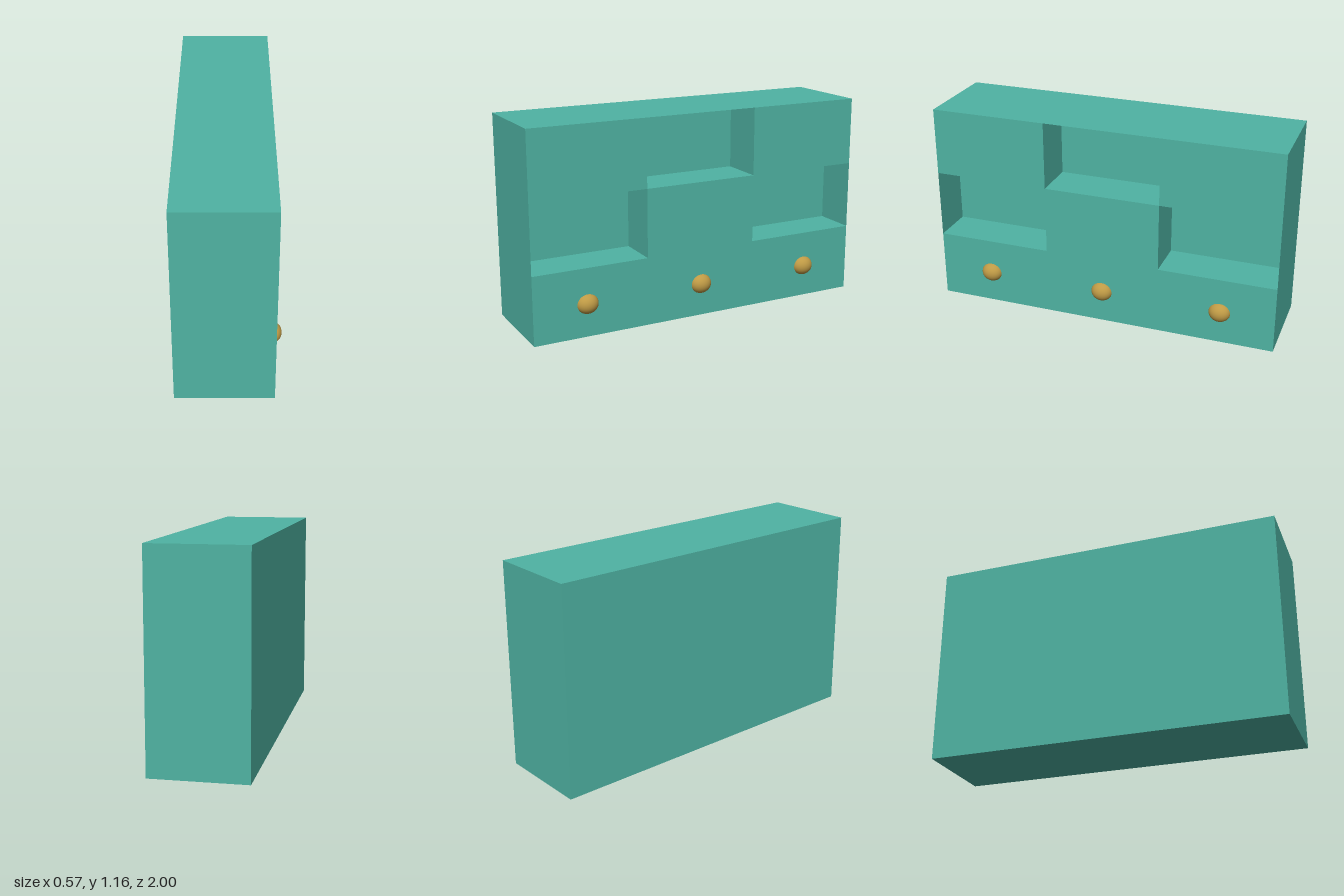
import * as THREE from 'three';

const BACK = -0.285, FACE = 0.242, HEIGHT = 1.16, HALF = 1;
const ROW1 = 0.387, ROW2 = 0.775, COL = 0.333;

// Box between two corners with its +x side left open; inward turns its faces to the inside
function openBox([x0, y0, z0], [x1, y1, z1], inward) {
  const geo = new THREE.BoxGeometry(x1 - x0, y1 - y0, z1 - z0);
  const index = Array.from(geo.index.array).slice(6);
  geo.clearGroups();
  geo.setIndex(inward ? index.reverse() : index);
  geo.computeVertexNormals();
  return geo.translate((x0 + x1) / 2, (y0 + y1) / 2, (z0 + z1) / 2);
}

// Flat front panel facing +x from [across, up] outline points
function facePanel(points) {
  const shape = new THREE.Shape(points.map(([a, b]) => new THREE.Vector2(a, b)));
  return new THREE.ShapeGeometry(shape).rotateY(Math.PI / 2).translate(FACE, 0, 0);
}

export function createModel() {
  const group = new THREE.Group();
  group.name = 'cabinet';
  const paint = new THREE.MeshStandardMaterial({ color: 0x4fb3a3 });
  const brass = new THREE.MeshStandardMaterial({ color: 0xbf9a45 });
  const add = (name, geo, mat = paint) => {
    const mesh = new THREE.Mesh(geo, mat);
    mesh.name = name;
    group.add(mesh);
    return mesh;
  };

  // Outer body
  add('carcass', openBox([BACK, 0, -HALF], [FACE, HEIGHT, HALF], false));

  // Drawer front with the raised centre panel
  add('drawerFront', facePanel([
    [-HALF, 0], [HALF, 0], [HALF, ROW1], [COL, ROW1],
    [COL, ROW2], [-COL, ROW2], [-COL, ROW1], [-HALF, ROW1],
  ]));

  // Upper doors either side of the centre niche
  for (const [name, a, b] of [['upperDoorFront', -HALF, -COL], ['upperDoorBack', COL, HALF]]) {
    add(name, facePanel([[a, ROW2], [b, ROW2], [b, HEIGHT], [a, HEIGHT]]));
  }

  // Open shelf niches: two in the middle row, one at top centre
  add('centreNiche', openBox([-0.015, ROW2, -COL], [FACE, HEIGHT, COL], true));
  add('nicheFront', openBox([-0.005, ROW1, COL], [FACE, ROW2, HALF], true));
  add('nicheBack', openBox([-0.005, ROW1, -HALF], [FACE, ROW2, -COL], true));

  // Row of flattened round knobs
  const knob = new THREE.SphereGeometry(1, 32, 20).scale(0.053, 0.056, 0.062);
  [-0.69, 0, 0.69].forEach((z, i) => {
    add('knob' + (i + 1), knob, brass).position.set(0.232, 0.185, z);
  });

  return group;
}
